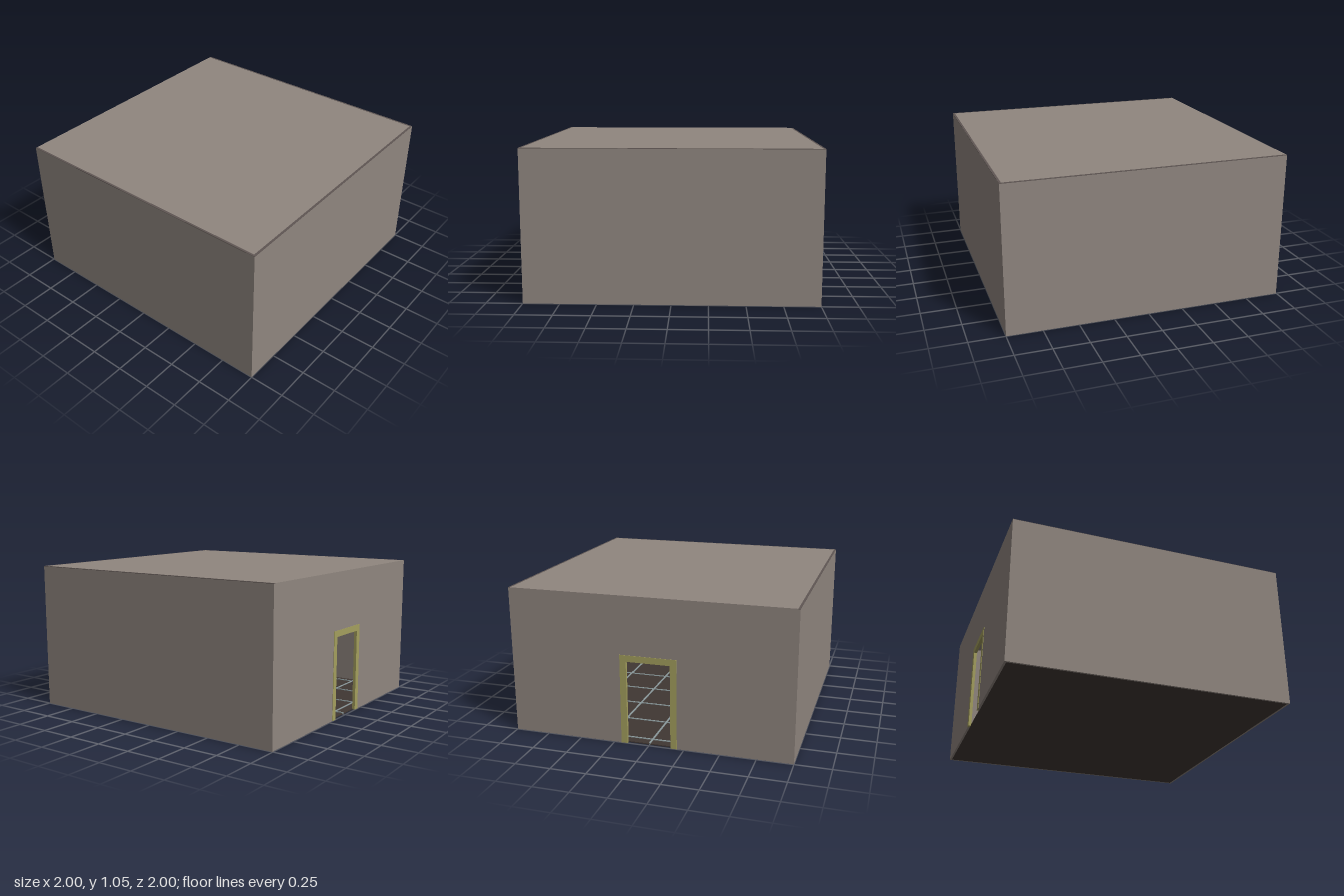
import * as THREE from 'three';

const H = 1.05;      // overall height
const T = 0.015;     // wall thickness
const BACK = -0.997; // outer face of the back wall

const mat = (color) => new THREE.MeshStandardMaterial({ color });

export function createModel() {
  const group = new THREE.Group();
  const wallMat = mat(0x90867f);
  const capMat = mat(0x5f5653);
  const floorMat = mat(0x403733);
  const frameMat = mat(0xa49f5e);
  const stripMat = mat(0x8c9a9c);

  const add = (name, geometry, material, x = 0, y = 0, z = 0) => {
    const mesh = new THREE.Mesh(geometry, material);
    mesh.name = name;
    mesh.position.set(x, y, z);
    group.add(mesh);
    return mesh;
  };
  // Box given by its lower and upper corners
  const box = (name, material, [x0, y0, z0], [x1, y1, z1]) =>
    add(name, new THREE.BoxGeometry(x1 - x0, y1 - y0, z1 - z0), material,
      (x0 + x1) / 2, (y0 + y1) / 2, (z0 + z1) / 2);

  // Flat panel with a doorway cut up from its lower edge
  const doorwayPanel = (halfWidth, height, halfDoor, doorHeight, depth) => {
    const shape = new THREE.Shape([
      [-halfWidth, 0], [-halfDoor, 0], [-halfDoor, doorHeight], [halfDoor, doorHeight],
      [halfDoor, 0], [halfWidth, 0], [halfWidth, height], [-halfWidth, height],
    ].map(([x, y]) => new THREE.Vector2(x, y)));
    return new THREE.ExtrudeGeometry(shape, { depth, bevelEnabled: false });
  };

  // Floor and roof slabs, the roof set between the walls
  box('floor', floorMat, [-1 + T, 0, BACK + T], [1 - T, 0.008, 1 - T]);
  box('roof', wallMat, [-1 + T, H - T, BACK + T], [1 - T, H, 1 - T]);

  // Side and front walls with dark top edges
  const top = H - 0.003;
  for (const [side, s] of [['left', 1], ['right', -1]]) {
    const [x0, x1] = s > 0 ? [1 - T, 1] : [-1, -1 + T];
    box(side + 'Wall', wallMat, [x0, 0, BACK], [x1, top, 1]);
    box(side + 'WallCap', capMat, [x0, top, BACK], [x1, H, 1]);
  }
  box('frontWall', wallMat, [-1 + T, 0, 1 - T], [1 - T, top, 1]);
  box('frontWallCap', capMat, [-1 + T, top, 1 - T], [1 - T, H, 1]);

  // Back wall with its doorway and raised frame
  add('backWall', doorwayPanel(1 - T, H, 0.17, 0.605, T), wallMat, 0, 0, BACK);
  add('doorFrame', doorwayPanel(0.2, 0.64, 0.155, 0.595, T + 0.006), frameMat, 0, 0, -1);

  // Grid of thin strips laid on the floor
  const step = 0.305, w = 0.006;
  for (let i = -3; i <= 3; i++) {
    const p = i * step;
    box('floorStripLengthwise', stripMat, [p - w, 0.002, BACK + T], [p + w, 0.014, 1 - T]);
    box('floorStripCrosswise', stripMat, [-1 + T, 0.002, p - w], [1 - T, 0.013, p + w]);
  }
  return group;
}
